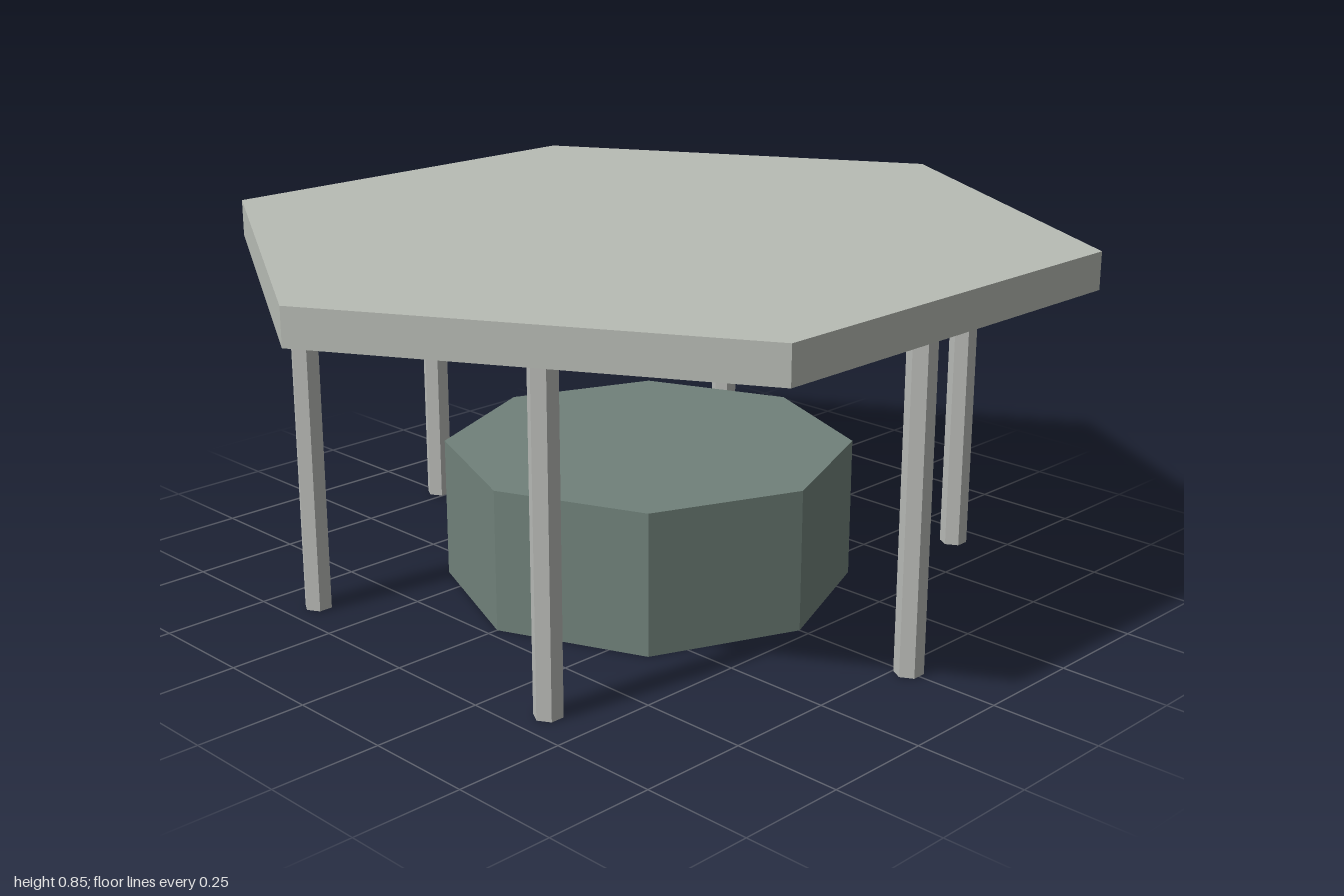
import * as THREE from 'three';

const material = (color) => new THREE.MeshStandardMaterial({ color, flatShading: true });

// Upright prism standing on height y, with one corner facing +z
function prism(name, radius, height, sides, y, mat) {
  const mesh = new THREE.Mesh(new THREE.CylinderGeometry(radius, radius, height, sides), mat);
  mesh.name = name;
  mesh.position.y = y + height / 2;
  return mesh;
}

export function createModel() {
  const model = new THREE.Group();
  model.name = 'hexagonalCanopy';

  const roofBottom = 0.76;
  const pale = material(0xb8bcb5);
  const postGrey = material(0xb8bab6);

  // Hexagonal roof slab
  model.add(prism('roof', 1, 0.085, 6, roofBottom, pale));

  // Octagonal drum in the middle
  model.add(prism('drum', 0.475, 0.33, 8, 0, material(0x70817a)));

  // Six posts, standing midway along the roof's sides
  const posts = new THREE.Group();
  posts.name = 'posts';
  for (let i = 0; i < 6; i++) {
    const angle = (i * Math.PI) / 3;
    const post = prism('post', 0.0325, roofBottom, 6, 0, postGrey);
    post.position.x = 0.78 * Math.cos(angle);
    post.position.z = 0.78 * Math.sin(angle);
    posts.add(post);
  }
  model.add(posts);

  return model;
}
